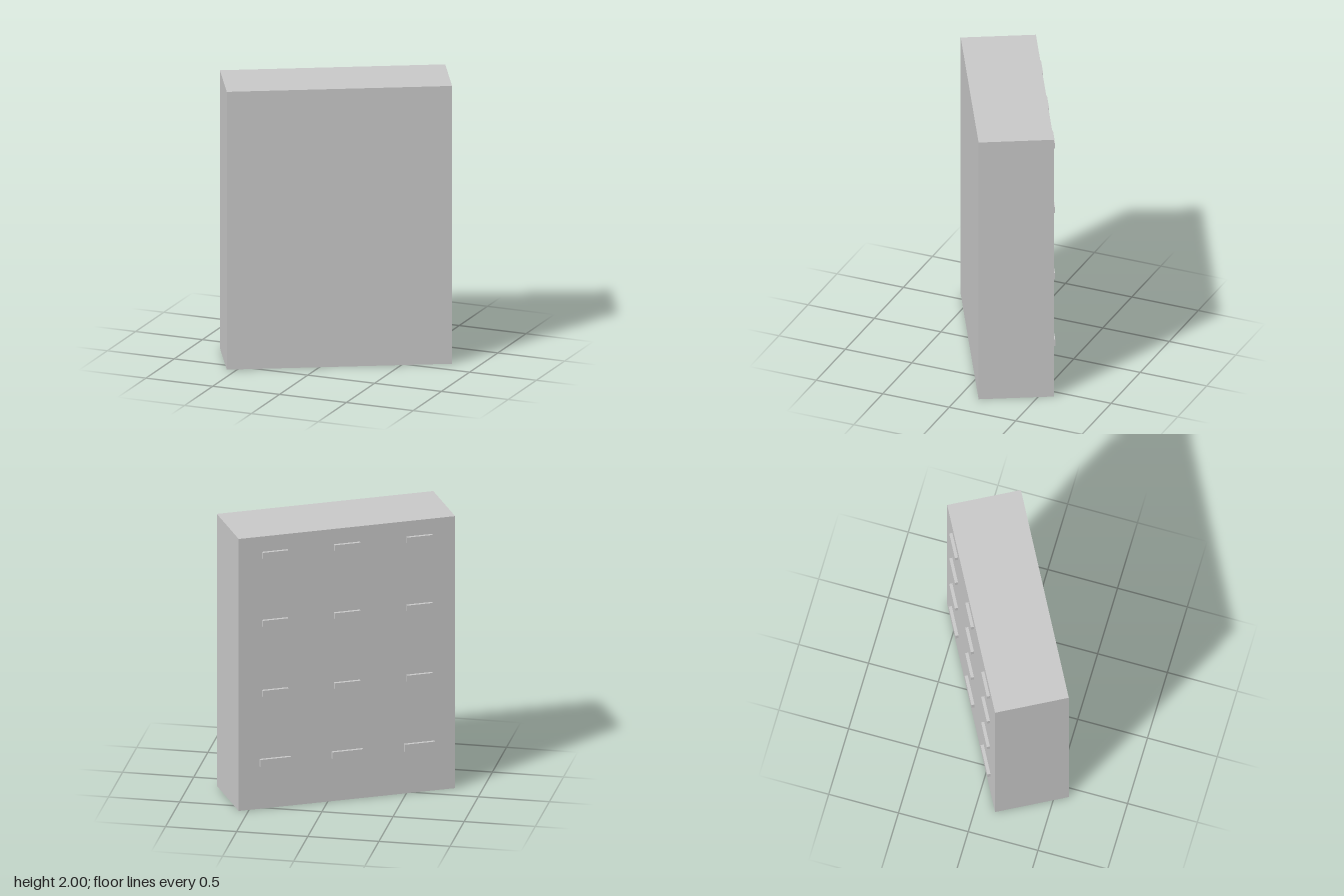
import * as THREE from 'three';

const material = new THREE.MeshStandardMaterial({ color: 0xcccccc });

function box(name, w, h, d, x, y, z) {
  const mesh = new THREE.Mesh(new THREE.BoxGeometry(w, h, d), material);
  mesh.name = name;
  mesh.position.set(x, y, z);
  return mesh;
}

export function createModel() {
  const model = new THREE.Group();
  model.name = 'drawerCabinet';

  const width = 1.56, height = 2, depth = 0.52;
  model.add(box('cabinetBody', width, height, depth, 0, height / 2, 0));

  // Drawer pulls: four rows of three, the bottom row a little larger
  const rows = [
    { y: 1.865, length: 0.185, thick: 0.045 },
    { y: 1.365, length: 0.185, thick: 0.045 },
    { y: 0.85, length: 0.185, thick: 0.045 },
    { y: 0.34, length: 0.22, thick: 0.053 },
  ];
  const reach = 0.022, sunk = 0.01;
  for (const { y, length, thick } of rows) {
    for (const column of [-1, 0, 1]) {
      model.add(box('drawerPull', length, thick, reach + sunk,
        column * width / 3, y, -depth / 2 - (reach - sunk) / 2));
    }
  }

  // The whole cabinet stands turned about its vertical axis
  model.rotation.y = 0.491;
  const root = new THREE.Group();
  root.name = 'cabinet';
  root.add(model);
  return root;
}
